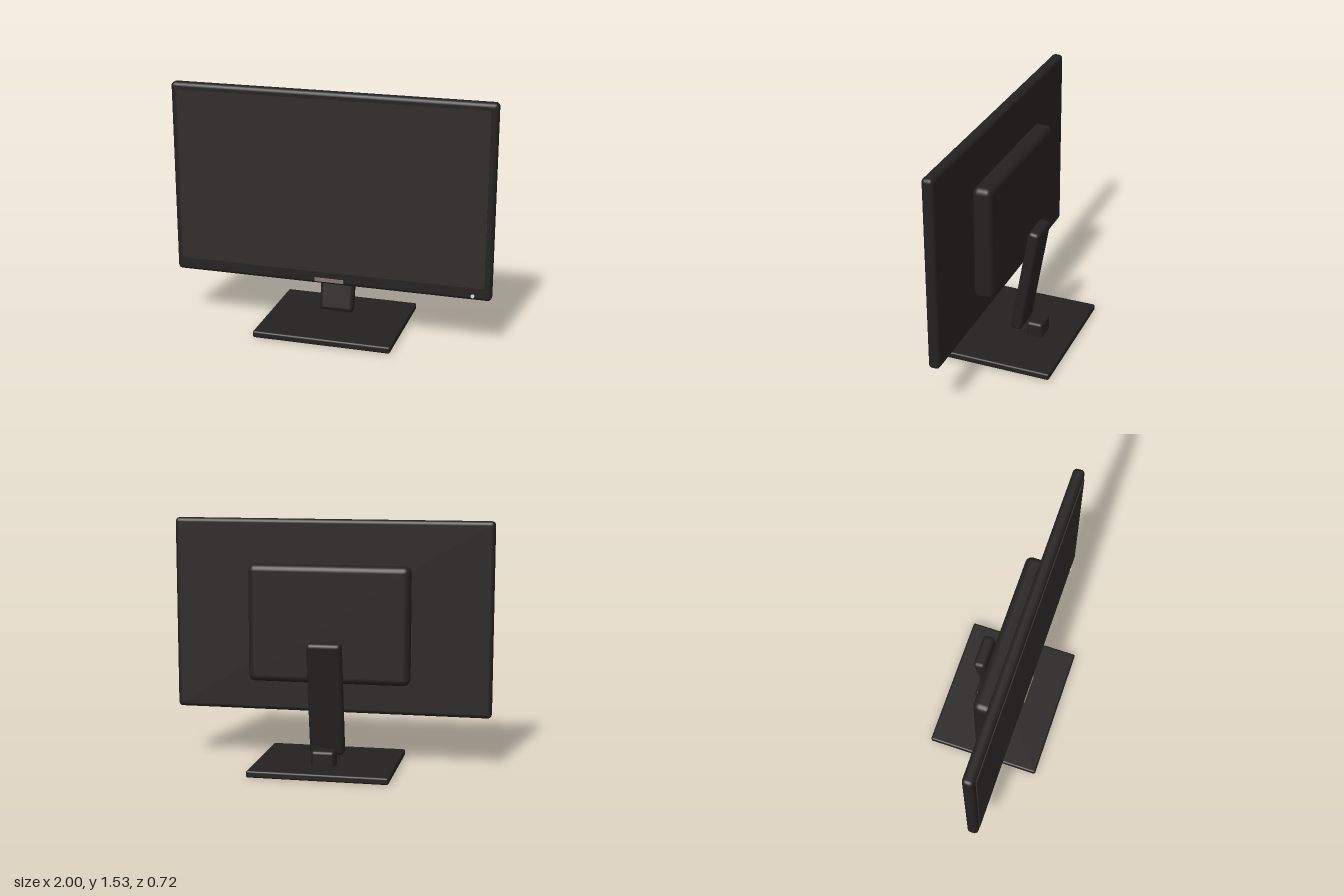
import * as THREE from 'three';
import { RoundedBoxGeometry } from 'three/addons/geometries/RoundedBoxGeometry.js';

const material = (color) => {
  const m = new THREE.MeshStandardMaterial();
  m.color.set(color);
  return m;
};

export function createModel() {
  const model = new THREE.Group();
  const plastic = material(0x242220);
  const glass = material(0x2f2b28);
  const trim = material(0x85796c);
  const light = material(0xe0dcd6);

  const add = (name, geometry, mat, x, y, z) => {
    const mesh = new THREE.Mesh(geometry, mat);
    mesh.name = name;
    mesh.position.set(x, y, z);
    model.add(mesh);
    return mesh;
  };
  const rounded = (w, h, d, r) => new RoundedBoxGeometry(w, h, d, 3, r);

  // Display: bezel body, screen and rear housing
  add('bezel', rounded(2, 1.207, 0.07, 0.025), plastic, 0, 0.926, 0.13);
  add('screen', new THREE.BoxGeometry(1.92, 1.08, 0.02), glass, 0, 0.945, 0.162);
  add('rearHousing', rounded(1.01, 0.73, 0.12, 0.04), plastic, 0, 0.89, 0.037);

  // Trim bar and power light on the lower bezel
  add('trimBar', new THREE.BoxGeometry(0.184, 0.022, 0.012), trim, 0, 0.352, 0.167);
  const lamp = add('powerLight', new THREE.CylinderGeometry(0.011, 0.011, 0.012, 20), light, 0.889, 0.352, 0.167);
  lamp.rotation.x = Math.PI / 2;

  // Stand: leaning column, hinge block and flat foot
  const column = add('column', rounded(0.216, 0.723, 0.075, 0.025), plastic, 0, 0.4425, -0.07);
  column.rotation.x = -0.17;
  add('hingeBlock', rounded(0.146, 0.12, 0.107, 0.02), plastic, 0, 0.077, -0.125);
  add('foot', rounded(0.87, 0.043, 0.722, 0.012), plastic, 0, 0.0215, 0);

  return model;
}
